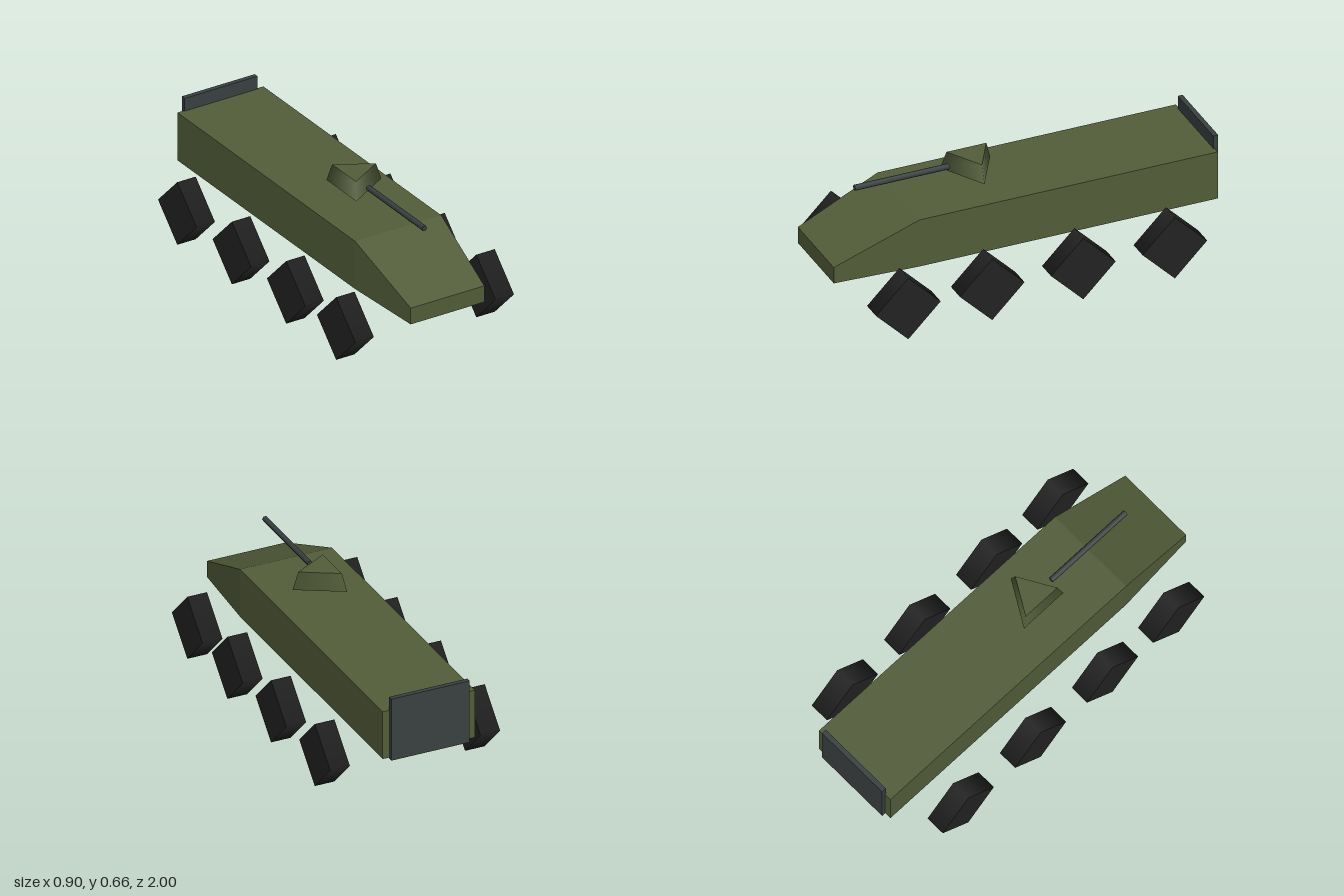
import * as THREE from 'three';

export function createModel() {
  const model = new THREE.Group();
  const paint = (name, color, flatShading = false) => {
    const m = new THREE.MeshStandardMaterial({ color, flatShading });
    m.name = name;
    return m;
  };
  const olive = paint('olive', 0x535d39);
  const steel = paint('gunmetal', 0x3a4042);
  const rubber = paint('rubber', 0x222222);

  const add = (name, geometry, material, x, y, z) => {
    const mesh = new THREE.Mesh(geometry, material);
    mesh.name = name;
    mesh.position.set(x, y, z);
    model.add(mesh);
    return mesh;
  };

  // Hull: rectangular sections from tail to nose, tapering over the front
  const sections = [
    { z: -0.982, w: 0.243, bottom: 0.254, top: 0.51 },
    { z: 0.57, w: 0.243, bottom: 0.254, top: 0.51 },
    { z: 1.0, w: 0.208, bottom: 0.246, top: 0.333 },
  ];
  const rings = sections.map(({ z, w, bottom, top }) => [
    [-w, bottom, z], [w, bottom, z], [w, top, z], [-w, top, z],
  ]);
  const points = [];
  const quad = (a, b, c, d) => points.push(...a, ...b, ...c, ...a, ...c, ...d);
  for (let s = 0; s < rings.length - 1; s++) {
    for (let i = 0; i < 4; i++) {
      const j = (i + 1) % 4;
      quad(rings[s][i], rings[s][j], rings[s + 1][j], rings[s + 1][i]);
    }
  }
  const [tail, , nose] = rings;
  quad(nose[0], nose[1], nose[2], nose[3]);
  quad(tail[3], tail[2], tail[1], tail[0]);
  const hull = new THREE.BufferGeometry();
  hull.setAttribute('position', new THREE.Float32BufferAttribute(points, 3));
  hull.computeVertexNormals();
  add('hull', hull, olive, 0, 0, 0);

  // Rear plate
  add('rearPlate', new THREE.BoxGeometry(0.412, 0.333, 0.025), steel, 0, 0.412, -0.9875);

  // Three-sided turret, one corner towards +x
  add('turret', new THREE.CylinderGeometry(0.12, 0.15, 0.09, 3, 1, false, Math.PI / 2),
    olive, 0, 0.61, 0.19);

  // Six-sided gun barrel
  const barrel = new THREE.CylinderGeometry(0.0145, 0.0145, 0.49, 6, 1, false, Math.PI / 2);
  barrel.rotateX(Math.PI / 2);
  add('gunBarrel', barrel, steel, 0, 0.612, 0.555);

  // Four-sided wheels, mirrored left and right
  const wheel = new THREE.CylinderGeometry(0.168, 0.168, 0.104, 4);
  wheel.rotateZ(Math.PI / 2);
  for (const side of [1, -1]) {
    [0.72, 0.284, -0.19, -0.666].forEach((z, i) => {
      add(`${side > 0 ? 'left' : 'right'}Wheel${i + 1}`, wheel, rubber, side * 0.396, 0.168, z);
    });
  }

  return model;
}
